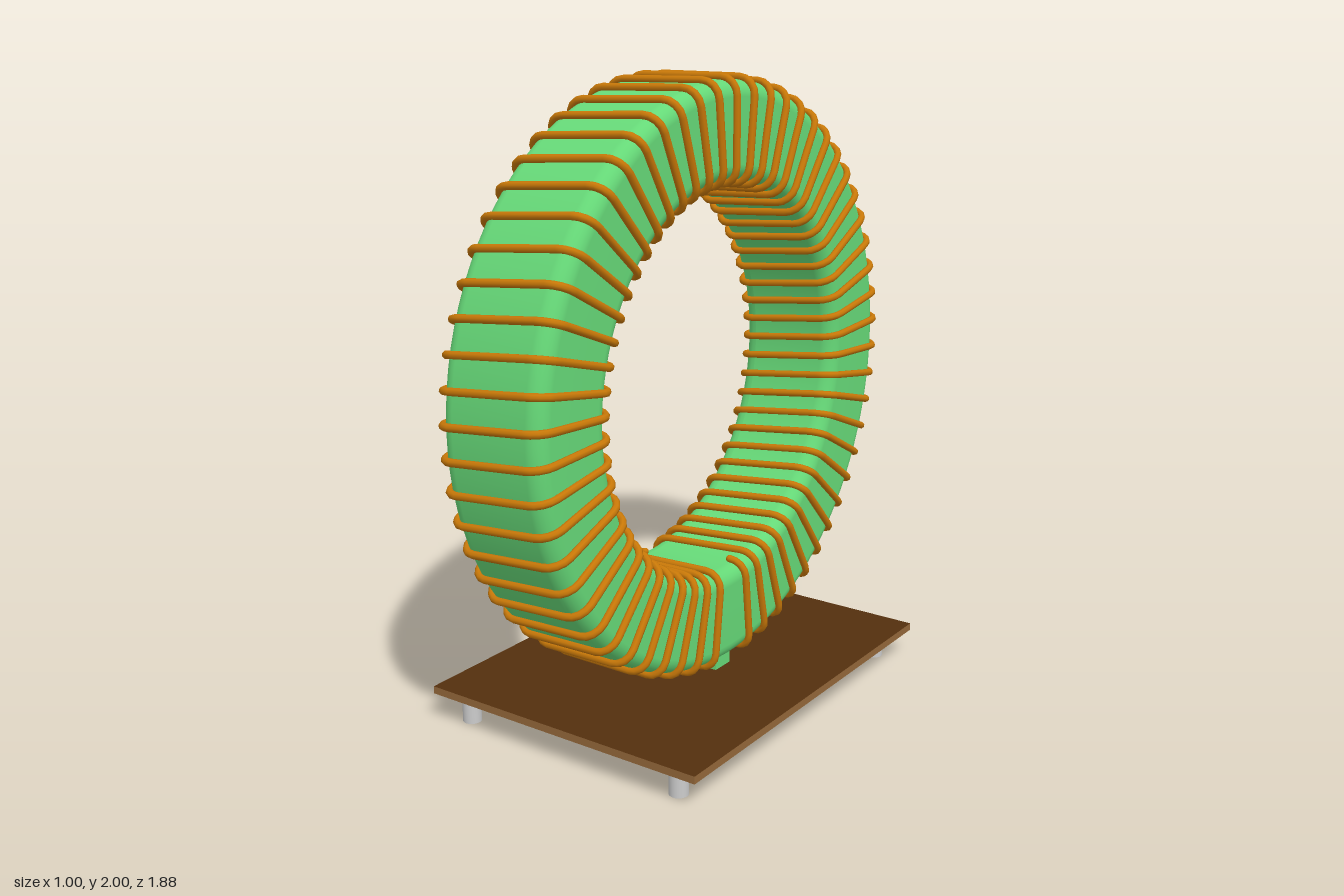
import * as THREE from 'three';

const CENTRE_Y = 1.06;
const paint = (color) => new THREE.MeshStandardMaterial({ color });

// Rounded-rectangle section as (radius, x) points; the outer side runs from -x to +x
function ringSection(inner, outer, half, corner, steps) {
  const points = [];
  const corners = [
    [inner + corner, -half + corner, Math.PI * 1.5, -1],
    [outer - corner, -half + corner, Math.PI * 1.5, 1],
    [outer - corner, half - corner, 0, 1],
    [inner + corner, half - corner, Math.PI * 0.5, 1],
  ];
  corners.forEach(([r, x], i) => {
    const start = Math.PI + i * Math.PI / 2;
    for (let k = 0; k <= steps; k++) {
      const a = start + (k / steps) * Math.PI / 2;
      points.push(new THREE.Vector2(r + corner * Math.cos(a), x + corner * Math.sin(a)));
    }
  });
  return points;
}

// Path through closely spaced points, sampled exactly at them
class WirePath extends THREE.Curve {
  constructor(points) {
    super();
    this.points = points;
  }
  getPoint(t, target = new THREE.Vector3()) {
    const last = this.points.length - 1;
    const s = THREE.MathUtils.clamp(t, 0, 1) * last;
    const i = Math.min(Math.floor(s), last - 1);
    return target.lerpVectors(this.points[i], this.points[i + 1], s - i);
  }
  getPointAt(u, target) { return this.getPoint(u, target); }
  getTangentAt(u, target) { return this.getTangent(u, target); }
}

// Winding: radial on both sides, advancing along the outer and inner faces
function windingGeometry() {
  const half = 0.188, turns = 57, outerShare = 0.35;
  const pitch = THREE.MathUtils.degToRad(6.2);
  const section = ringSection(0.61, 0.928, half, 0.055, 4);
  const first = Math.PI / 2 - (28 + outerShare) * pitch;
  const points = [];
  for (let turn = 0; turn < turns; turn++) {
    for (const { x: r, y: x } of section) {
      const across = (x + half) / (2 * half);
      const onOuter = r > 0.77;
      let share = onOuter ? outerShare * across : outerShare + (1 - outerShare) * (1 - across);
      if (!onOuter && x < 0) share -= 1; // each turn starts at the inner -x corner
      const a = first + (turn + share) * pitch;
      points.push(new THREE.Vector3(x, r * Math.sin(a), r * Math.cos(a)));
    }
  }
  return new THREE.TubeGeometry(new WirePath(points), points.length - 1, 0.012, 8, false);
}

export function createModel() {
  const model = new THREE.Group();
  const green = paint(0x66d978), copper = paint(0xc87808);
  const boardFace = paint(0x54300e), boardEdge = paint(0x94683a), grey = paint(0xcccccc);

  const add = (name, geometry, material, x = 0, y = 0, z = 0) => {
    const mesh = new THREE.Mesh(geometry, material);
    mesh.name = name;
    mesh.position.set(x, y, z);
    model.add(mesh);
    return mesh;
  };

  // Ring core, lathed and turned so its axis lies along x
  const profile = ringSection(0.62, 0.92, 0.18, 0.05, 6);
  profile.push(profile[0].clone());
  add('ringCore', new THREE.LatheGeometry(profile, 96).rotateZ(-Math.PI / 2), green, 0, CENTRE_Y);

  // Wire coiled around the core
  add('wireWinding', windingGeometry(), copper, 0, CENTRE_Y);
  // Rounded ends of the wire
  const path = model.getObjectByName('wireWinding').geometry.parameters.path.points;
  for (const end of [path[0], path[path.length - 1]]) {
    add('wireEnd', new THREE.SphereGeometry(0.012, 8, 6), copper, end.x, end.y + CENTRE_Y, end.z);
  }

  // Small foot joining the core to the board
  add('coreFoot', new THREE.BoxGeometry(0.32, 0.045, 0.08), green, 0, 0.1345, 0.015);

  // Base board with paler cut edges
  const boardMaterials = [boardEdge, boardEdge, boardFace, boardFace, boardEdge, boardEdge];
  add('baseBoard', new THREE.BoxGeometry(1, 0.024, 1.31), boardMaterials, 0, 0.101, 0.01);

  // Four pins under the board
  for (const x of [-0.4, 0.4]) {
    for (const z of [-0.57, 0.6]) {
      add('pin', new THREE.CylinderGeometry(0.03, 0.03, 0.09, 24), grey, x, 0.045, z);
    }
  }
  return model;
}
